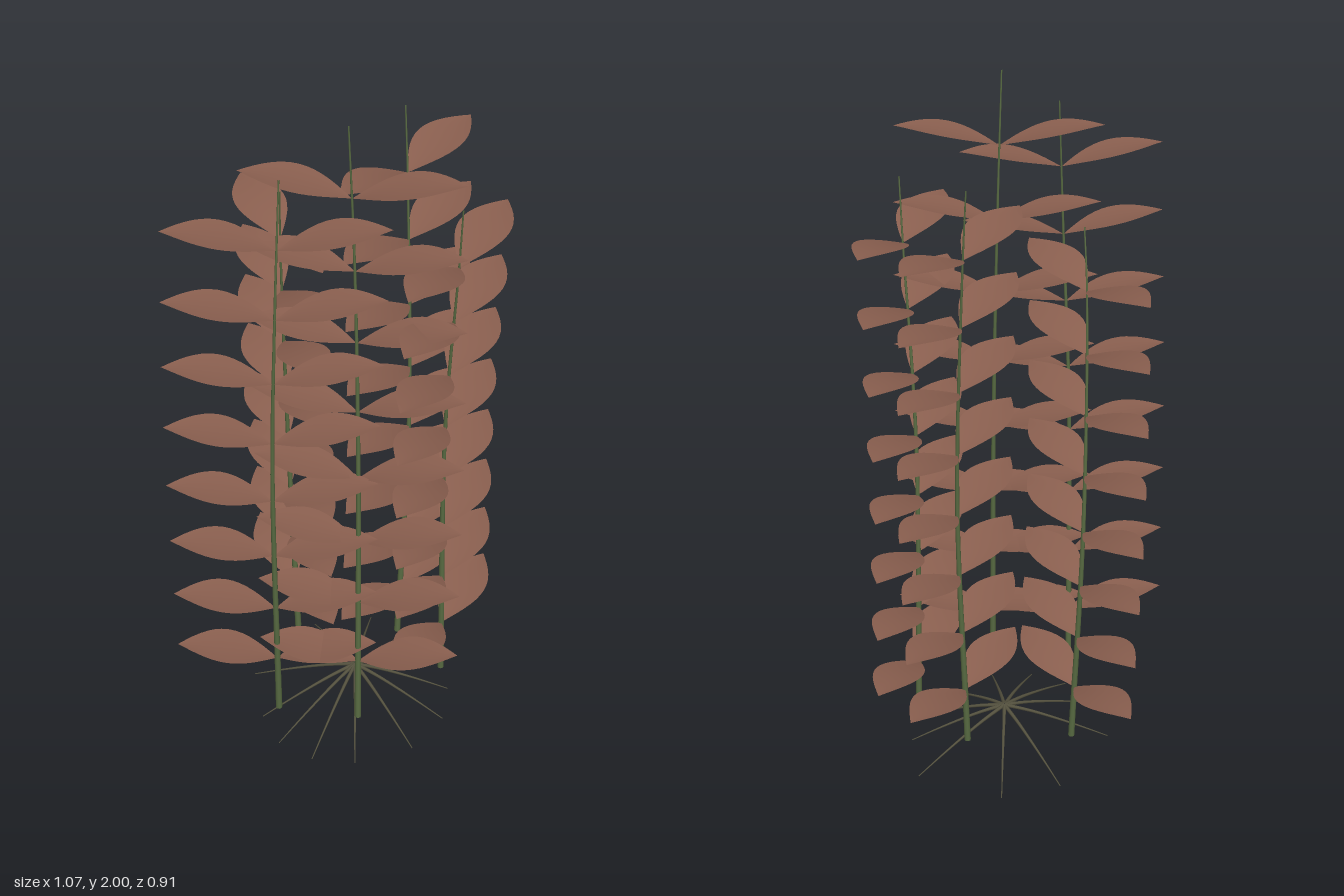
import * as THREE from 'three';

const leafMat = new THREE.MeshStandardMaterial({ color: 0x8a5f4f, side: THREE.DoubleSide });
const stemMat = new THREE.MeshStandardMaterial({ color: 0x586b42 });
const rootMat = new THREE.MeshStandardMaterial({ color: 0x55523f });

// Each stem: path points, first and last leaf height, direction (x, z) of one leaf tip
const STEMS = [
  { path: [[-0.305, 0.1, 0.02], [-0.34, 1, 0.05], [-0.35, 1.5, 0.08], [-0.33, 1.89, 0.085]], low: 0.305, high: 1.7, tip: [-0.183, -0.21] },
  { path: [[-0.185, 0.1, 0.22], [-0.155, 1, 0.19], [-0.15, 1.6, 0.17], [-0.175, 2, 0.17]], low: 0.31, high: 1.797, tip: [0.15, 0.235] },
  { path: [[-0.005, 0.1, -0.17], [0, 0.85, -0.203], [-0.045, 1.5, -0.175], [-0.07, 1.66, -0.15]], low: 0.275, high: 1.495, tip: [0.12, -0.25] },
  { path: [[0.135, 0.1, 0.275], [0.107, 1, 0.278], [0.065, 1.56, 0.333], [0.05, 1.74, 0.35]], low: 0.28, high: 1.56, tip: [0.272, -0.055] },
  { path: [[0.175, 0.1, 0.075], [0.207, 0.9, 0.075], [0.247, 1.6, 0.02], [0.255, 1.83, 0]], low: 0.28, high: 1.64, tip: [0.278, -0.008] },
];
const PAIRS = 8;

// Tube whose radius shrinks from r0 to r1 along the curve
function taperedTube(curve, segments, sides, r0, r1) {
  const geo = new THREE.TubeGeometry(curve, segments, 1, sides);
  const pos = geo.attributes.position;
  const p = new THREE.Vector3();
  for (let i = 0; i < pos.count; i++) {
    const t = Math.floor(i / (sides + 1)) / segments;
    const c = curve.getPointAt(t);
    p.fromBufferAttribute(pos, i).sub(c).multiplyScalar(r0 + (r1 - r0) * t).add(c);
    pos.setXYZ(i, p.x, p.y, p.z);
  }
  return geo;
}

// Pointed oval blade along +x, arching upward and slightly cupped
function leafGeometry(length, halfWidth, rise) {
  const geo = new THREE.PlaneGeometry(1, 2, 14, 6).rotateX(-Math.PI / 2);
  const pos = geo.attributes.position;
  for (let i = 0; i < pos.count; i++) {
    const t = pos.getX(i) + 0.5;
    const s = pos.getZ(i);
    const bulge = Math.sin(Math.PI * t);
    pos.setXYZ(i, length * t, rise * (1 - (1 - t) ** 2) + 0.005 * s * s * bulge, s * halfWidth * bulge);
  }
  geo.computeVertexNormals();
  return geo;
}

// Point of a rising curve at a given height
function pointAtHeight(curve, y) {
  let a = 0, b = 1;
  for (let i = 0; i < 30; i++) {
    const m = (a + b) / 2;
    if (curve.getPoint(m).y < y) a = m; else b = m;
  }
  return curve.getPoint(a);
}

export function createModel() {
  const model = new THREE.Group();
  model.name = 'plant';
  const blade = leafGeometry(0.282, 0.07, 0.056);

  // Stems with opposite leaf pairs
  STEMS.forEach(({ path, low, high, tip }) => {
    const shoot = new THREE.Group();
    shoot.name = 'shoot';
    const curve = new THREE.CatmullRomCurve3(path.map((p) => new THREE.Vector3(...p)));
    const stem = new THREE.Mesh(taperedTube(curve, 24, 8, 0.0095, 0.002), stemMat);
    stem.name = 'stem';
    shoot.add(stem);
    // Cut end at the foot of the stem
    const foot = new THREE.Mesh(new THREE.CircleGeometry(0.0095, 8).rotateX(Math.PI / 2), stemMat);
    foot.name = 'stemFoot';
    foot.position.set(...path[0]);
    shoot.add(foot);
    const yaw = Math.atan2(-tip[1], tip[0]);
    for (let i = 0; i < PAIRS; i++) {
      const at = pointAtHeight(curve, low + ((high - low) * i) / (PAIRS - 1));
      for (const turn of [0, Math.PI]) {
        const leaf = new THREE.Mesh(blade, leafMat);
        leaf.name = 'leaf';
        leaf.position.copy(at);
        leaf.rotation.y = yaw + turn;
        shoot.add(leaf);
      }
    }
    model.add(shoot);
  });

  // Roots spreading down from one crown to the ground: angle in degrees, reach
  const roots = new THREE.Group();
  roots.name = 'roots';
  const crown = new THREE.Vector3(-0.025, 0.103, 0.075);
  const spread = [[-119, 0.31], [-64, 0.31], [-31, 0.32], [17, 0.33], [50, 0.28], [76, 0.29],
    [106, 0.3], [140, 0.31], [163, 0.32], [184, 0.32], [206, 0.3]];
  for (const [deg, reach] of spread) {
    const a = THREE.MathUtils.degToRad(deg);
    const points = [0, 0.25, 0.5, 0.75, 1].map((t) => new THREE.Vector3(
      crown.x + Math.cos(a) * reach * t,
      0.002 + (crown.y - 0.002) * (1 - t ** 1.25),
      crown.z + Math.sin(a) * reach * t,
    ));
    const root = new THREE.Mesh(taperedTube(new THREE.CatmullRomCurve3(points), 12, 6, 0.006, 0.0015), rootMat);
    root.name = 'root';
    roots.add(root);
  }
  model.add(roots);
  return model;
}
